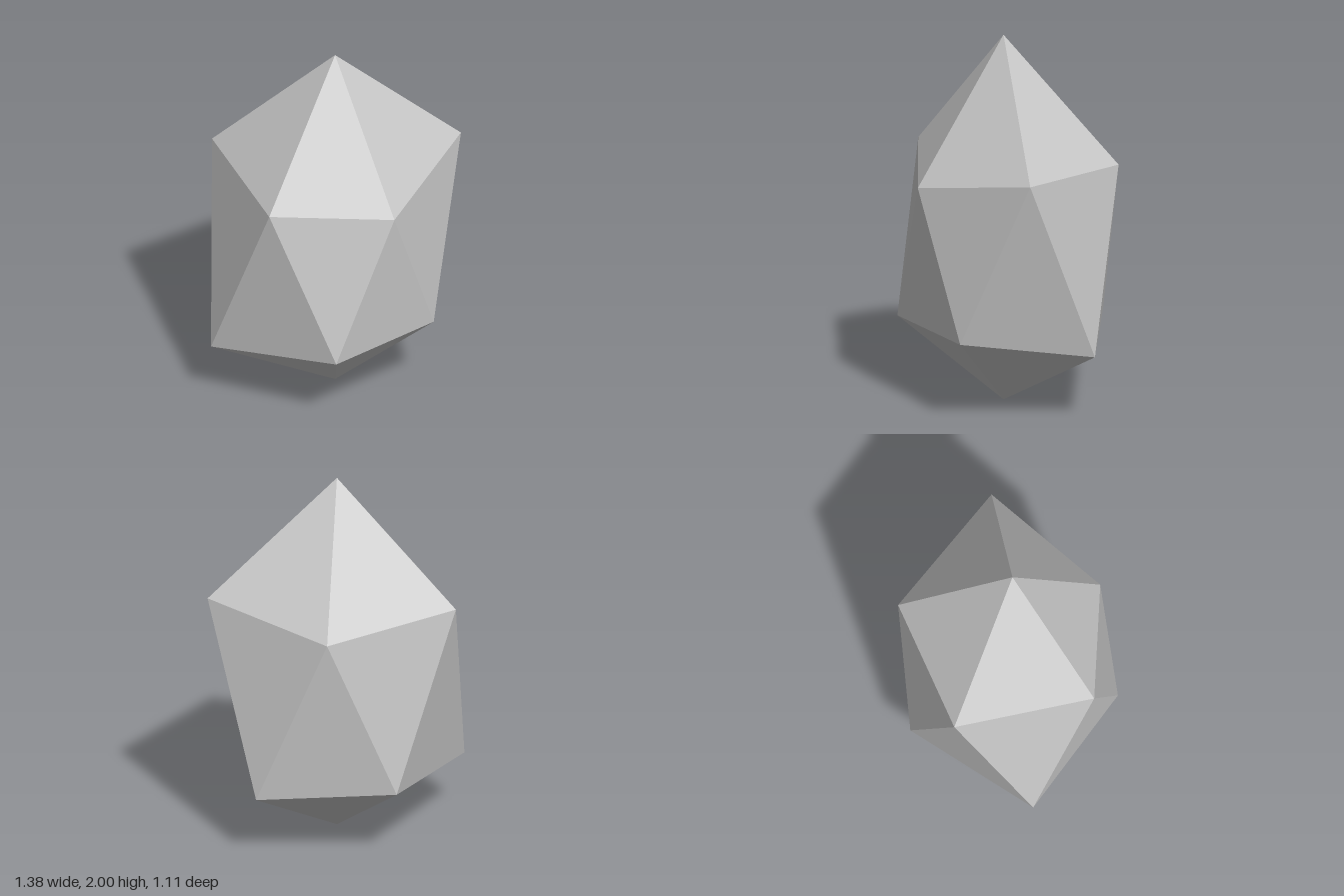
import * as THREE from 'three';

// Faceted stone: two tips joined by an upper and a lower ring of five corners
const topTip = [-0.005, 2, 0.02];
const bottomTip = [-0.005, 0, 0.02];
const upper = [
  [0.69, 1.38, 0.02], [0.155, 1.24, 0.51], [-0.49, 1.31, 0.375],
  [-0.55, 1.36, -0.375], [0.185, 1.31, -0.555],
];
const lower = [
  [0.43, 0.455, 0.34], [-0.18, 0.44, 0.55], [-0.69, 0.34, 0.02],
  [-0.19, 0.41, -0.55], [0.52, 0.37, -0.36],
];

function stoneGeometry() {
  const corners = [];
  const face = (a, b, c) => corners.push(...a, ...b, ...c);
  for (let i = 0; i < 5; i++) {
    const j = (i + 1) % 5;
    face(topTip, upper[j], upper[i]);      // crown
    face(upper[i], upper[j], lower[i]);    // side, pointing down
    face(lower[i], upper[j], lower[j]);    // side, pointing up
    face(bottomTip, lower[i], lower[j]);   // base
  }
  const geometry = new THREE.BufferGeometry();
  geometry.setAttribute('position', new THREE.Float32BufferAttribute(corners, 3));
  geometry.computeVertexNormals(); // unshared corners give flat facets
  return geometry;
}

export function createModel() {
  const group = new THREE.Group();
  group.name = 'rock';

  const stoneGrey = new THREE.MeshStandardMaterial({ color: 0xc8c8c8, flatShading: true });
  stoneGrey.name = 'pale stone grey';

  const stone = new THREE.Mesh(stoneGeometry(), stoneGrey);
  stone.name = 'stone';
  group.add(stone);
  return group;
}
